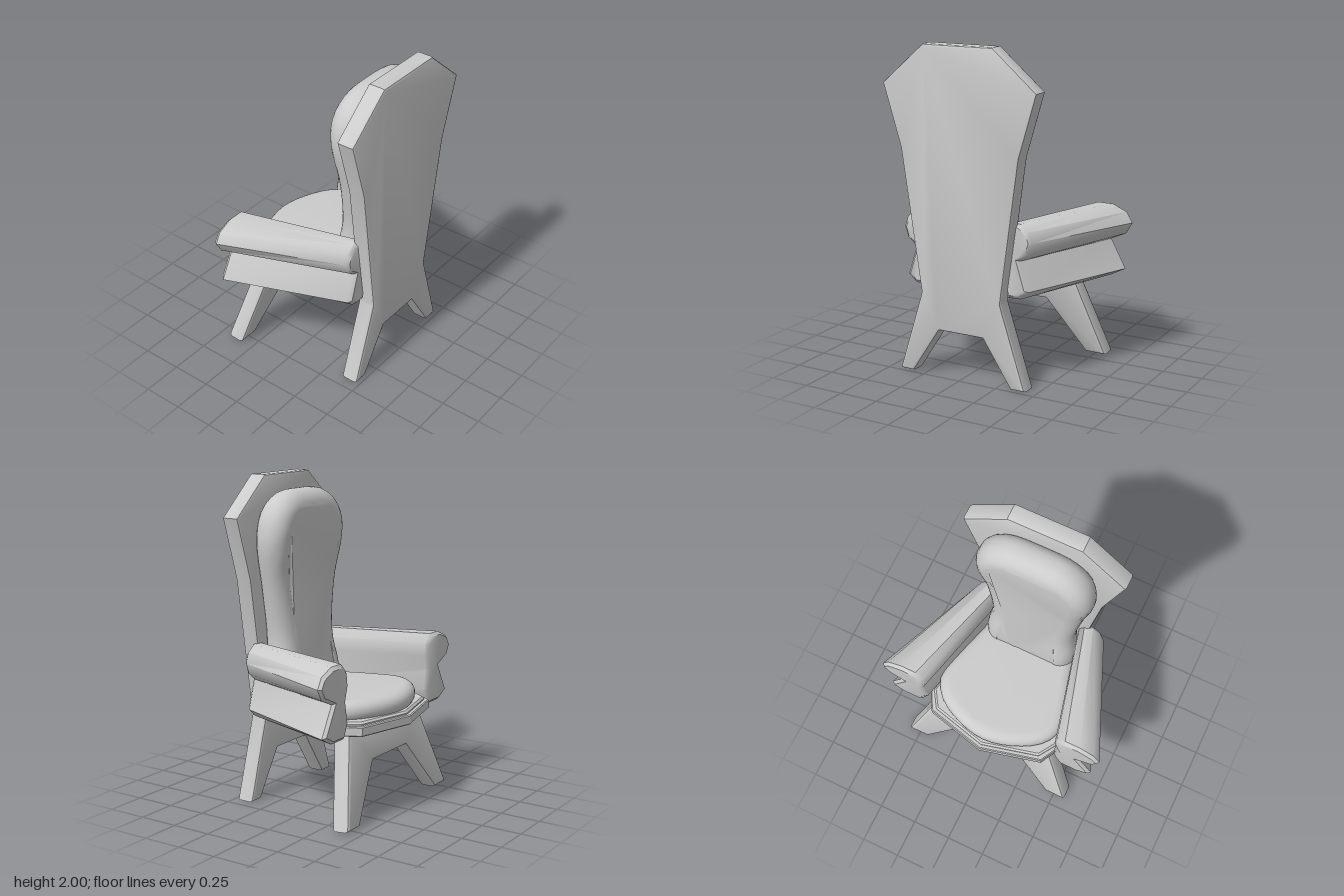
import * as THREE from 'three';
import { toCreasedNormals } from 'three/addons/utils/BufferGeometryUtils.js';

const material = new THREE.MeshStandardMaterial({ color: 0xcccccc });
const lerp = THREE.MathUtils.lerp;

// Move every vertex by a rule, then recompute normals with sharp creases
function finish(name, geo, crease, rule) {
  const pos = geo.attributes.position;
  const v = new THREE.Vector3();
  for (let i = 0; i < pos.count; i++) {
    v.fromBufferAttribute(pos, i);
    if (rule) rule(v);
    pos.setXYZ(i, v.x, v.y, v.z);
  }
  geo.deleteAttribute('normal');
  const mesh = new THREE.Mesh(toCreasedNormals(geo, crease), material);
  mesh.name = name;
  return mesh;
}

// Bevelled extrusion that keeps to the given outline and total thickness
function slab(points, thickness, bevel, segments = 1, thick = bevel) {
  return new THREE.ExtrudeGeometry(new THREE.Shape(points), {
    depth: thickness - 2 * thick, steps: 1, curveSegments: 1,
    bevelEnabled: true, bevelSize: bevel, bevelThickness: thick,
    bevelOffset: -bevel, bevelSegments: segments,
  }).translate(0, 0, thick);
}

// Outline in (z, y), extruded from x0 along +x
const upright = (zy, x0, ...rest) =>
  slab(zy.map(([z, y]) => new THREE.Vector2(-z, y)), ...rest).rotateY(Math.PI / 2).translate(x0, 0, 0);

// Outline in (x, z), extruded from y0 upwards
const flat = (xz, y0, ...rest) =>
  slab(xz.map(([x, z]) => new THREE.Vector2(x, -z)), ...rest).rotateX(-Math.PI / 2).translate(0, y0, 0);

// Complete a half outline by mirroring one coordinate
function mirrored(half, axis) {
  const other = half.filter(p => p[axis] !== 0).reverse()
    .map(p => p.map((c, i) => (i === axis ? -c : c)));
  return [...half, ...other];
}

// Closed smooth curve through an outline
function smooth(outline, count) {
  const curve = new THREE.CatmullRomCurve3(
    outline.map(([a, b]) => new THREE.Vector3(a, b, 0)), true, 'centripetal');
  return curve.getSpacedPoints(count).slice(0, count).map(p => [p.x, p.y]);
}

export function createModel() {
  const chair = new THREE.Group();
  chair.name = 'armchair';

  // Tall back panel that runs down into the rear legs, leaning slightly
  const back = mirrored([[0.23, 2], [0.51, 1.76], [0.395, 1.38], [0.27, 0.51],
    [0.43, 0], [0.335, 0], [0.15, 0.285]], 0);
  chair.add(finish('backPanel', upright(back, 0, 0.113, 0.018, 2), 0.5,
    v => { v.x += lerp(0.366, 0.387, v.y / 2); }));

  // Splayed front legs cut from one sloping panel
  const legs = mirrored([[0.385, 0.56], [0.575, 0.012], [0.44, 0.012], [0.19, 0.34]], 0);
  chair.add(finish('frontLegs', upright(legs, 0, 0.113, 0.022, 2), 0.5, v => {
    const t = (v.y - 0.012) / 0.548;
    v.y -= v.x * 0.08 * (1 - t);
    v.x += lerp(-0.438, -0.322, t);
  }));

  // Seat board with a pointed front and a chamfered upper step
  const board = mirrored([[-0.505, 0], [-0.41, 0.385], [-0.29, 0.45], [0.4, 0.29]], 1);
  chair.add(finish('seatBoard', flat(board, 0.535, 0.06, 0.006), 0.3));
  const step = mirrored([[-0.48, 0], [-0.39, 0.36], [-0.28, 0.43], [0.4, 0.28]], 1);
  chair.add(finish('seatStep', flat(step, 0.57, 0.045, 0.012), 0.3));

  // Seat cushion
  const seat = mirrored([[-0.455, 0], [-0.41, 0.2], [-0.31, 0.36], [-0.19, 0.42],
    [0, 0.385], [0.2, 0.32], [0.36, 0.27]], 1);
  chair.add(finish('seatCushion', flat(smooth(seat, 44), 0.59, 0.13, 0.07, 6, 0.06), 0.9));

  // Back cushion, waisted in outline and hollowed at the lower back
  const pad = mirrored([[0, 1.91], [0.2, 1.89], [0.325, 1.79], [0.37, 1.62], [0.315, 1.3],
    [0.275, 1], [0.3, 0.75], [0.27, 0.6]], 0);
  const hollow = new THREE.CatmullRomCurve3([[0.6, 0.16], [0.78, 0.165], [1, 0.2], [1.35, 0.215],
    [1.7, 0.18], [1.91, 0.19]].map(([y, x]) => new THREE.Vector3(x, y, 0)));
  const profile = hollow.getPoints(60);
  chair.add(finish('backCushion', upright(smooth(pad, 64), 0, 0.22, 0.1, 7, 0.1), 0.9, v => {
    const near = profile.find(p => p.y >= v.y) ?? profile[60];
    v.x = lerp(near.x, 0.4, v.x / 0.22);
  }));

  // Rolled arms: notched on the outside, narrowing and drawing in to the back
  const arm = [[0.745, 0.88], [0.705, 0.945], [0.61, 0.985], [0.51, 0.985], [0.455, 0.93],
    [0.445, 0.85], [0.47, 0.76], [0.445, 0.63], [0.485, 0.535], [0.61, 0.535], [0.705, 0.585],
    [0.605, 0.765], [0.705, 0.81]];
  for (const [side, name] of [[1, 'leftArm'], [-1, 'rightArm']]) {
    const outline = arm.map(([z, y]) => [z * side, y]);
    chair.add(finish(name, upright(outline, -0.36, 0.77, 0.02), 0.75, v => {
      const t = (v.x + 0.36) / 0.77;
      v.z = side * (lerp(0.6, 0.345, t) + (v.z * side - 0.6) * lerp(1, 0.57, t));
    }));
  }

  return chair;
}
